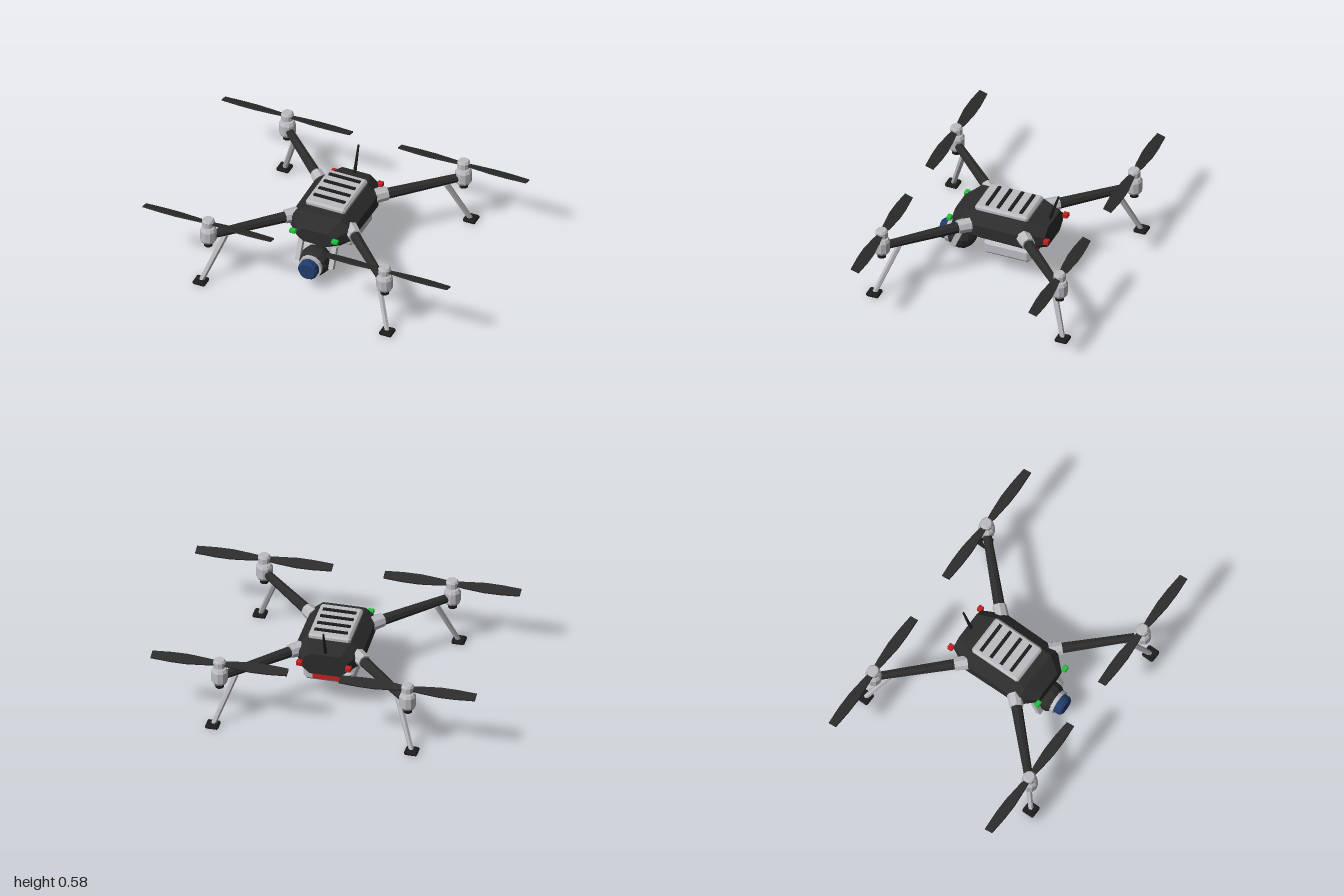
import * as THREE from 'three';
import { ConvexGeometry } from 'three/addons/geometries/ConvexGeometry.js';

const paint = (name, color) => {
  const m = new THREE.MeshStandardMaterial({ color, flatShading: true });
  m.name = name;
  return m;
};
const V = (x, y, z) => new THREE.Vector3(x, y, z);

// Box with every edge cut by b
function bevelBox(w, h, d, b) {
  const [x, y, z] = [w / 2, h / 2, d / 2];
  const pts = [];
  for (const i of [-1, 1]) for (const j of [-1, 1]) for (const k of [-1, 1]) {
    pts.push(V(i * x, j * (y - b), k * (z - b)), V(i * (x - b), j * y, k * (z - b)), V(i * (x - b), j * (y - b), k * z));
  }
  return new ConvexGeometry(pts);
}

export function createModel() {
  const model = new THREE.Group();
  model.name = 'quadcopter';
  const charcoal = paint('charcoal', 0x2c2c2c);
  const black = paint('black', 0x1c1c1d);
  const silver = paint('silver', 0xbcbcc1);
  const blue = paint('lens blue', 0x213c6b);
  const green = paint('signal green', 0x1fc23a);
  const red = paint('signal red', 0xc4201f);

  const add = (parent, name, geo, mat, x = 0, y = 0, z = 0) => {
    const m = new THREE.Mesh(geo, mat);
    m.name = name;
    m.position.set(x, y, z);
    parent.add(m);
    return m;
  };
  // Tapered rod from a to b
  const rod = (parent, name, a, b, ra, rb, sides, mat) => {
    const d = b.clone().sub(a);
    const m = add(parent, name, new THREE.CylinderGeometry(rb, ra, d.length(), sides), mat);
    m.position.copy(a).addScaledVector(d, 0.5);
    m.quaternion.setFromUnitVectors(V(0, 1, 0), d.normalize());
    return m;
  };
  const lathe = (pts, sides) => new THREE.LatheGeometry(pts.map(p => new THREE.Vector2(...p)), sides);

  // Body: eight-sided cross-sections [z, half width, bottom, top]
  const hull = [];
  for (const [z, w, y0, y1] of [[0.312, 0.115, 0.272, 0.365], [0.22, 0.2, 0.24, 0.427], [-0.165, 0.205, 0.234, 0.43], [-0.298, 0.14, 0.26, 0.4]]) {
    const h = y1 - y0;
    for (const s of [-1, 1]) {
      hull.push(V(s * w * 0.66, y0, z), V(s * w, y0 + h * 0.3, z), V(s * w, y0 + h * 0.7, z), V(s * w * 0.66, y1, z));
    }
  }
  add(model, 'body', new ConvexGeometry(hull), charcoal);

  // Vented top cover
  add(model, 'topCover', bevelBox(0.26, 0.04, 0.345, 0.012), silver, 0, 0.441, -0.008);
  for (const z of [0.095, 0.022, -0.053, -0.126]) {
    add(model, 'vent', new THREE.BoxGeometry(0.205, 0.014, 0.02), black, 0, 0.463, z);
  }

  // Belly battery with rear marker
  add(model, 'battery', bevelBox(0.31, 0.094, 0.305, 0.02), silver, 0, 0.191, -0.052);
  add(model, 'batteryMarker', new THREE.BoxGeometry(0.19, 0.045, 0.008), red, 0, 0.19, -0.206);

  // Antenna
  rod(model, 'antenna', V(0, 0.4, -0.272), V(0, 0.575, -0.33), 0.011, 0.006, 6, black);

  // Camera ball, ring and lens
  const camera = new THREE.Group();
  camera.name = 'camera';
  camera.position.set(0, 0.143, 0.3);
  model.add(camera);
  const ball = add(camera, 'cameraBall', new THREE.SphereGeometry(0.097, 12, 8), charcoal);
  ball.rotation.x = Math.PI / 2;
  const ring = add(camera, 'lensRing', new THREE.CylinderGeometry(0.075, 0.075, 0.024, 14), silver, 0, 0, 0.07);
  ring.rotation.x = Math.PI / 2;
  const lens = add(camera, 'lens', lathe([[0, 0.07], [0.063, 0.07], [0.063, 0.116], [0.052, 0.13], [0, 0.13]], 14), blue);
  lens.rotation.x = Math.PI / 2;

  // Side brackets and lights
  for (const s of [-1, 1]) {
    const bracket = add(model, 'cameraBracket', new THREE.BoxGeometry(0.03, 0.14, 0.034), silver, s * 0.11, 0.183, 0.285);
    bracket.rotation.x = -0.4;
    add(model, 'frontLight', bevelBox(0.04, 0.026, 0.03, 0.004), green, s * 0.138, 0.337, 0.322);
    add(model, 'rearLight', bevelBox(0.036, 0.03, 0.034, 0.004), red, s * 0.151, 0.337, -0.313);
  }

  // Propeller blade outline, both halves
  const half = [[0.02, 0.016], [0.08, 0.025], [0.2, 0.037], [0.3, 0.036], [0.42, 0.027]];
  const rim = [...half.map(([x, w]) => [-x, w]).reverse(), ...half];
  const outline = new THREE.Shape([...rim, ...rim.map(([x, w]) => [x, -w]).reverse()].map(p => new THREE.Vector2(...p)));
  const bladeGeo = new THREE.ExtrudeGeometry(outline, { depth: 0.009, bevelEnabled: false });
  bladeGeo.translate(0, 0, -0.0045).rotateX(-Math.PI / 2 - 0.3);

  const motorGeo = lathe([[0, 0.3], [0.04, 0.3], [0.051, 0.318], [0.051, 0.385], [0.04, 0.404], [0, 0.404]], 10);
  const hubGeo = lathe([[0, 0.418], [0.039, 0.418], [0.039, 0.453], [0.03, 0.466], [0, 0.466]], 10);

  // Four arms with motor, propeller and leg
  for (const sx of [-1, 1]) for (const sz of [-1, 1]) {
    const unit = new THREE.Group();
    unit.name = (sz > 0 ? 'front' : 'rear') + (sx > 0 ? 'Left' : 'Right') + 'Arm';
    model.add(unit);
    const at = (r, y) => V(sx * r, y, sz * r);
    rod(unit, 'arm', at(0.18, 0.348), at(0.56, 0.344), 0.035, 0.026, 8, charcoal);
    rod(unit, 'armCollar', at(0.175, 0.35), at(0.232, 0.35), 0.047, 0.042, 8, silver);
    rod(unit, 'leg', at(0.5, 0.32), at(0.61, 0.018), 0.019, 0.016, 6, silver);
    add(unit, 'foot', bevelBox(0.08, 0.026, 0.08, 0.008), black, sx * 0.613, 0.013, sz * 0.613);

    const rotor = new THREE.Group();
    rotor.name = 'rotor';
    rotor.position.set(sx * 0.58, 0, sz * 0.578);
    unit.add(rotor);
    add(rotor, 'motor', motorGeo, silver);
    add(rotor, 'motorBase', new THREE.CylinderGeometry(0.031, 0.027, 0.04, 8), black, 0, 0.29, 0);
    add(rotor, 'shaft', new THREE.CylinderGeometry(0.015, 0.015, 0.03, 8), black, 0, 0.411, 0);
    add(rotor, 'propellerHub', hubGeo, silver);
    // The blade pitch lifts its front edge
    const blade = add(rotor, 'propeller', bladeGeo, charcoal, 0, 0.437, 0);
    blade.rotation.x = 0;
  }
  return model;
}
